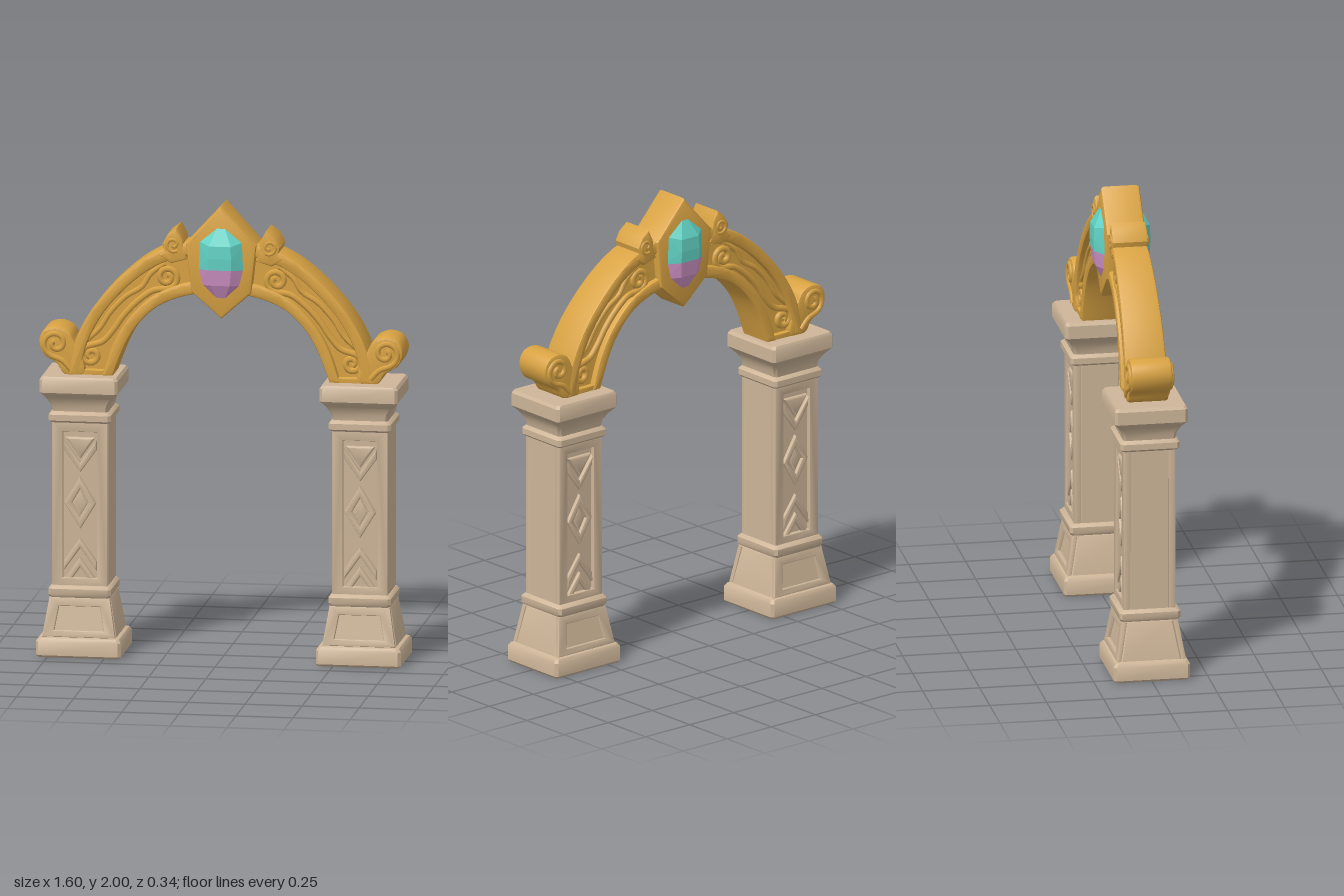
import * as THREE from 'three';
import { toCreasedNormals } from 'three/addons/utils/BufferGeometryUtils.js';
import { ConvexGeometry } from 'three/addons/geometries/ConvexGeometry.js';

const material = (name, color) => {
  const m = new THREE.MeshStandardMaterial({ color });
  m.name = name;
  return m;
};

const v2 = (pts) => pts.map(([x, y]) => new THREE.Vector2(x, y));
const v3 = (pts) => pts.map(([x, y, z = 0]) => new THREE.Vector3(x, y, z));
const flipX = (pts) => [...pts, ...pts.filter((p) => p[0] !== 0).reverse().map(([x, y]) => [-x, y])];

function addMesh(parent, name, geometry, mat) {
  const mesh = new THREE.Mesh(geometry, mat);
  mesh.name = name;
  parent.add(mesh);
  return mesh;
}

// Bevelled plate from z0 to z1, with an optional hole
function slab(outline, z0, z1, bevel = 0, hole) {
  const shape = new THREE.Shape(v2(outline));
  if (hole) shape.holes.push(new THREE.Path(v2(hole)));
  const geo = new THREE.ExtrudeGeometry(shape, {
    depth: z1 - z0 - 2 * bevel, bevelEnabled: bevel > 0, bevelThickness: bevel,
    bevelSize: bevel, bevelOffset: -bevel, bevelSegments: 2,
  });
  return toCreasedNormals(geo.translate(0, 0, z0 + bevel), 0.6);
}

// Stack of chamfered rectangles: rows of [y, half width, half depth]
function squareLoft(rows, c = 0.012) {
  const pos = [], idx = [];
  for (const [y, w, d] of rows) {
    for (const [x, z] of [[c - w, d], [w - c, d], [w, d - c], [w, c - d], [w - c, -d], [c - w, -d], [-w, c - d], [-w, d - c]])
      pos.push(x, y, z);
  }
  const top = (rows.length - 1) * 8;
  for (let i = 0; i < top; i += 8) {
    for (let j = 0; j < 8; j++) {
      const a = i + j, b = i + (j + 1) % 8;
      idx.push(a, b, b + 8, a, b + 8, a + 8);
    }
  }
  for (let j = 1; j < 7; j++) idx.push(0, j + 1, j, top, top + j, top + j + 1);
  const geo = new THREE.BufferGeometry();
  geo.setAttribute('position', new THREE.Float32BufferAttribute(pos, 3));
  geo.setIndex(idx);
  return toCreasedNormals(geo, 0.6);
}

// Spiral points around a centre, angles in degrees
function spiral(cx, cy, r0, r1, a0, a1, n = 18) {
  return Array.from({ length: n + 1 }, (_, i) => {
    const t = i / n, a = THREE.MathUtils.degToRad(a0 + (a1 - a0) * t), r = r0 + (r1 - r0) * t;
    return [cx + r * Math.cos(a), cy + r * Math.sin(a)];
  });
}

const tube = (pts, z, r) => new THREE.TubeGeometry(
  new THREE.CatmullRomCurve3(v3(pts.map(([x, y]) => [x, y, z]))), pts.length * 4, r, 6);

// The arch gets thinner towards the crown
function taper(geo) {
  const p = geo.attributes.position;
  for (let i = 0; i < p.count; i++) {
    const k = THREE.MathUtils.clamp((Math.abs(p.getX(i)) - 0.15) / 0.5, 0, 1);
    p.setZ(i, p.getZ(i) * (0.8 + 0.2 * k));
  }
  return geo;
}

// Carved panels on one face of a pillar
function pillarFace(stone) {
  const face = new THREE.Group();
  face.name = 'pillarFace';
  const rect = (w, y0, y1) => [[-w, y0], [w, y0], [w, y1], [-w, y1]];
  addMesh(face, 'shaftFrame', slab(rect(0.122, 0.3, 1.04), 0.08, 0.114, 0.006, rect(0.074, 0.345, 0.99)), stone);

  const diamond = (w, h) => [[0, 0.675 - h], [w, 0.675], [0, 0.675 + h], [-w, 0.675]];
  addMesh(face, 'diamondRim', slab(diamond(0.07, 0.115), 0.08, 0.11, 0.01, diamond(0.036, 0.062)), stone);
  addMesh(face, 'diamondBoss', slab(diamond(0.032, 0.056), 0.08, 0.1, 0.008), stone);

  const chevron = (y, dir) => [[0, y], [0.072, y - 0.1 * dir], [0.072, y - 0.145 * dir],
    [0, y - 0.045 * dir], [-0.072, y - 0.145 * dir], [-0.072, y - 0.1 * dir]];
  for (const [y, dir] of [[0.52, 1], [0.435, 1], [0.81, -1]])
    addMesh(face, 'chevron', slab(chevron(y, dir), 0.08, 0.109, 0.01), stone);
  addMesh(face, 'topWedge', slab([[0, 0.87], [0.066, 0.965], [-0.066, 0.965]], 0.08, 0.108, 0.012), stone);

  // Sloping frame around the recessed base panel
  const frame = addMesh(face, 'baseFrame', slab(
    [[-0.16, 0], [0.16, 0], [0.132, 0.175], [-0.132, 0.175]], -0.022, 0, 0.005,
    [[-0.108, 0.03], [0.108, 0.03], [0.09, 0.135], [-0.09, 0.135]]), stone);
  frame.position.set(0, 0.09, 0.153);
  frame.rotation.x = -Math.atan(0.03 / 0.17);
  return face;
}

function pillar(stone) {
  const g = new THREE.Group();
  g.name = 'pillar';
  addMesh(g, 'pillarBody', squareLoft([
    [0, 0.178, 0.16], [0.01, 0.186, 0.168], [0.07, 0.186, 0.168], [0.085, 0.176, 0.158],
    [0.09, 0.162, 0.138], [0.255, 0.133, 0.106],
    [0.26, 0.13, 0.126], [0.272, 0.137, 0.134], [0.298, 0.137, 0.134], [0.312, 0.126, 0.12],
    [0.313, 0.123, 0.094], [1.03, 0.122, 0.094],
    [1.031, 0.127, 0.12], [1.04, 0.136, 0.13], [1.066, 0.136, 0.13], [1.076, 0.126, 0.12],
    [1.08, 0.122, 0.115], [1.11, 0.128, 0.12], [1.14, 0.146, 0.137], [1.16, 0.164, 0.154],
    [1.168, 0.171, 0.16], [1.225, 0.171, 0.16], [1.238, 0.162, 0.152],
  ]), stone);
  for (const turn of [0, Math.PI]) {
    const face = pillarFace(stone);
    face.rotation.y = turn;
    g.add(face);
  }
  return g;
}

// One half of the arch, on the +x side
function archHalf(gold) {
  const g = new THREE.Group();
  g.name = 'archHalf';
  const outer = new THREE.SplineCurve(v2([[0.668, 1.235], [0.638, 1.39], [0.55, 1.55], [0.41, 1.7], [0.27, 1.795], [0.12, 1.84]]));
  const inner = new THREE.SplineCurve(v2([[0.475, 1.235], [0.425, 1.365], [0.37, 1.46], [0.29, 1.54], [0.2, 1.585], [0.1, 1.61]]));
  const at = (t, s) => outer.getPoint(t).lerp(inner.getPoint(t), s).toArray();
  const band = (s0, s1, t0 = 0, t1 = 1) => {
    const ts = Array.from({ length: 25 }, (_, i) => t0 + (t1 - t0) * i / 24);
    return [...ts.map((t) => at(t, s0)), ...ts.reverse().map((t) => at(t, s1))];
  };
  const add = (name, geo) => addMesh(g, name, taper(geo), gold);
  add('archPanel', slab(band(0.05, 0.95), -0.062, 0.062));
  add('outerRim', slab(band(0, 0.25), -0.092, 0.092, 0.012));
  add('innerRim', slab(band(0.76, 1), -0.092, 0.092, 0.012));
  add('footRim', slab(band(0.1, 0.9, 0, 0.05), -0.086, 0.086, 0.008));

  // Scroll at the foot and curled leaf near the crown
  const closed = (pts) => new THREE.CatmullRomCurve3(v3(pts), true).getPoints(44).slice(0, -1).map((p) => [p.x, p.y]);
  add('footScroll', slab(closed([[0.6, 1.24], [0.685, 1.238], [0.72, 1.285], [0.775, 1.32], [0.797, 1.38],
    [0.775, 1.43], [0.72, 1.447], [0.665, 1.425], [0.642, 1.385], [0.61, 1.33]]), -0.09, 0.09, 0.012));
  add('crownLeaf', slab([[0.15, 1.76], [0.163, 1.8], [0.17, 1.85], [0.196, 1.897], [0.235, 1.868], [0.258, 1.825],
    [0.25, 1.795], [0.28, 1.775], [0.22, 1.74]], -0.095, 0.095, 0.012));

  // Carved vines on both faces
  const vine = [...spiral(0.24, 1.675, 0.012, 0.05, -270, 270), [0.3, 1.615], [0.37, 1.565], [0.43, 1.5],
    [0.475, 1.435], [0.52, 1.385], ...spiral(0.57, 1.322, 0.045, 0.01, 90, -420)];
  const tendril = [[0.25, 1.735], [0.31, 1.69], [0.35, 1.63], [0.42, 1.585], [0.49, 1.51], [0.535, 1.44], [0.6, 1.38]];
  const curl = [[0.655, 1.26], [0.695, 1.3], ...spiral(0.722, 1.374, 0.058, 0.01, -70, 430)];
  const leafCurl = spiral(0.21, 1.825, 0.034, 0.008, -120, 300, 12);
  for (const side of [1, -1]) {
    add('vine', tube(vine, side * 0.066, 0.015));
    add('tendril', tube(tendril, side * 0.063, 0.013));
    add('scrollCurl', tube(curl, side * 0.088, 0.013));
    add('leafCurl', tube(leafCurl, side * 0.093, 0.008));
  }
  return g;
}

export function createModel() {
  const stone = material('stone', 0xcdb598);
  const gold = material('gold', 0xd9a343);
  const teal = material('tealCrystal', 0x62d2c4);
  const pink = material('pinkCrystal', 0xcf92c6);
  const model = new THREE.Group();
  model.name = 'archway';

  for (const side of [1, -1]) {
    const p = pillar(stone);
    p.position.x = side * 0.613;
    const half = archHalf(gold);
    half.rotation.y = side > 0 ? 0 : Math.PI;
    model.add(p, half);
  }

  // Keystone frame
  const ring = (rows) => flipX(rows);
  addMesh(model, 'keystoneFrame', slab(
    ring([[0, 1.503], [0.132, 1.62], [0.155, 1.83], [0, 2]]), -0.086, 0.086, 0.014,
    ring([[0, 1.553], [0.095, 1.65], [0.108, 1.845], [0, 1.942]])), gold);

  // Two-tone crystal
  const gem = (pts) => new ConvexGeometry(v3(pts.flatMap(([x, y, z]) =>
    [[x, y, z], [-x, y, z], [x, y, -z], [-x, y, -z]])));
  const waist = [[0.11, 1.72, 0.075], [0.05, 1.725, 0.123]];
  addMesh(model, 'upperCrystal', gem([[0, 1.945, 0.065], [0.11, 1.848, 0.07], [0.048, 1.83, 0.122], [0.05, 1.775, 0.125], ...waist]), teal);
  addMesh(model, 'lowerCrystal', gem([[0, 1.55, 0.065], [0.1, 1.65, 0.07], [0.042, 1.655, 0.113], ...waist]), pink);
  return model;
}
